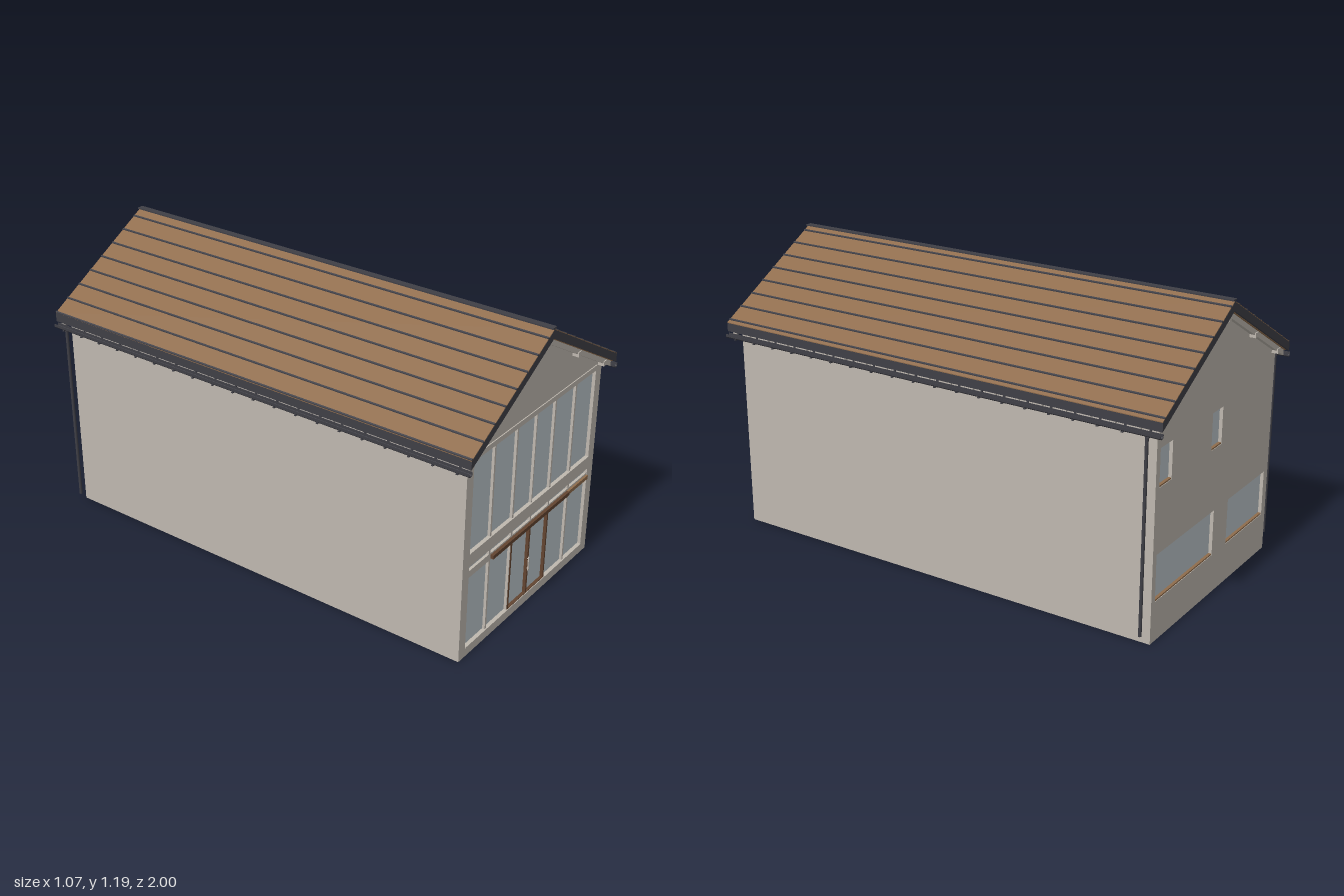
import * as THREE from 'three';

const mat = (name, color) => {
  const m = new THREE.MeshStandardMaterial({ color });
  m.name = name;
  return m;
};

export function createModel() {
  const plaster = mat('plaster', 0xbfb8af);
  const roofBrown = mat('roofBrown', 0x8f6c4c);
  const darkMetal = mat('darkMetal', 0x3f3f46);
  const glass = mat('glass', 0xbcc6ca);
  const darkWood = mat('darkWood', 0x634430);

  const house = new THREE.Group();
  house.name = 'house';

  const add = (name, geo, material) => {
    const mesh = new THREE.Mesh(geo, material);
    mesh.name = name;
    house.add(mesh);
    return mesh;
  };
  // Box given by its limits on each axis
  const box = (name, material, x0, x1, y0, y1, z0, z1) => {
    const geo = new THREE.BoxGeometry(x1 - x0, y1 - y0, z1 - z0);
    geo.translate((x0 + x1) / 2, (y0 + y1) / 2, (z0 + z1) / 2);
    return add(name, geo, material);
  };
  // Outline in x,y pushed from z0 to z1, with optional rectangular holes
  const prism = (name, material, points, z0, z1, holes = []) => {
    const shape = new THREE.Shape(points.map(([x, y]) => new THREE.Vector2(x, y)));
    for (const [x0, x1, y0, y1] of holes) {
      shape.holes.push(new THREE.Path([[x0, y0], [x0, y1], [x1, y1], [x1, y0]]
        .map(([x, y]) => new THREE.Vector2(x, y))));
    }
    const geo = new THREE.ExtrudeGeometry(shape, { depth: z1 - z0, bevelEnabled: false });
    geo.translate(0, 0, z0);
    return add(name, geo, material);
  };

  const SLOPE = 0.567, EAVE = 0.522, TOP = 1.18, UNDER = 1.145;
  const topY = (x) => TOP - SLOPE * Math.abs(x);
  const underY = (x) => UNDER - SLOPE * Math.abs(x);
  // Strip that follows the roof pitch between two x values
  const strip = (xa, xb, yAt, lo, hi) =>
    [[xa, yAt(xa) + lo], [xb, yAt(xb) + lo], [xb, yAt(xb) + hi], [xa, yAt(xa) + hi]];

  // Walls: solid core with thin pierced front and back skins
  const gable = [[-0.48, 0], [0.48, 0], [0.48, underY(0.48)], [0, UNDER], [-0.48, underY(0.48)]];
  const frontHoles = [[-0.437, 0.437, 0.45, 0.832], [-0.437, 0.437, 0.037, 0.396]];
  const backHoles = [
    [0, 0.453, 0.162, 0.35], [-0.447, -0.12, 0.162, 0.35],
    [0.362, 0.453, 0.61, 0.76], [-0.034, 0.05, 0.61, 0.76],
  ];
  prism('wallCore', plaster, gable, -0.94, 0.94);
  prism('frontWall', plaster, gable, 0.94, 0.96, frontHoles);
  prism('backWall', plaster, gable, -0.96, -0.94, backHoles);

  // Back windows with brown sills
  for (const [x0, x1, y0, y1] of backHoles) {
    box('backGlass', glass, x0, x1, y0, y1, -0.946, -0.939);
    box('backSill', roofBrown, x0, x1, y0, y0 + 0.006, -0.958, -0.945);
  }

  // Front glazing
  for (const [x0, x1, y0, y1] of frontHoles) {
    box('frontGlass', glass, x0, x1, y0, y1, 0.939, 0.946);
    for (const x of [-0.291, -0.137, 0.137, 0.291]) {
      box('mullion', plaster, x - 0.005, x + 0.005, y0, y1, 0.945, 0.957);
    }
    box('centreMullion', plaster, -0.003, 0.003, y0, y1, 0.945, 0.957);
  }
  box('lintelLedge', plaster, -0.437, 0.437, 0.85, 0.858, 0.955, 0.964);
  box('upperSill', plaster, -0.437, 0.437, 0.446, 0.452, 0.945, 0.962);
  box('lowerSill', plaster, -0.437, 0.437, 0.034, 0.04, 0.945, 0.962);
  box('transomRail', plaster, -0.437, 0.437, 0.345, 0.374, 0.945, 0.957);

  // Sliding screen rail above the doors
  box('doorRail', darkWood, -0.284, 0.282, 0.351, 0.367, 0.955, 0.97);
  box('sideRail', roofBrown, 0.282, 0.437, 0.351, 0.367, 0.955, 0.966);

  // Double doors: slim wooden frames and pull handles
  for (const s of [-1, 1]) {
    const leaf = (a, b, y0, y1) =>
      box('doorFrame', darkWood, Math.min(s * a, s * b), Math.max(s * a, s * b), y0, y1, 0.945, 0.959);
    leaf(0.13, 0.138, 0.037, 0.348);
    leaf(0.0006, 0.005, 0.037, 0.348);
    leaf(0.005, 0.13, 0.037, 0.043);
    leaf(0.005, 0.13, 0.342, 0.348);
  }
  box('doorHandle', plaster, -0.006, -0.001, 0.15, 0.21, 0.962, 0.967);
  for (const y of [0.157, 0.2]) box('handlePost', plaster, -0.005, -0.002, y, y + 0.004, 0.958, 0.963);

  // Roof slab
  prism('roofSlab', darkMetal, [
    [-EAVE, underY(EAVE)], [0, UNDER], [EAVE, underY(EAVE)],
    [EAVE, topY(EAVE)], [0, TOP], [-EAVE, topY(EAVE)],
  ], -1, 1);

  for (const s of [-1, 1]) {
    const between = (a, b) => (s > 0 ? [a, b] : [-b, -a]);
    // Brown roof covering and soffit
    prism('roofCovering', roofBrown, strip(...between(0, EAVE), topY, 0, 0.003), -0.9995, 0.9995);
    prism('soffit', roofBrown, strip(...between(0, EAVE - 0.01), underY, -0.003, 0.001), -0.99, 0.99);
    // Standing seams, slightly offset from side to side
    for (let i = 0; i < 8; i++) {
      const x = (s > 0 ? 0.028 : 0.04) + i * 0.0685;
      prism('roofSeam', darkMetal, strip(...between(x - 0.0025, x + 0.0025), topY, 0, 0.007), -1, 1);
    }
    // Gable rafters and purlin ends
    for (const z of [-0.982, 0.962]) {
      prism('gableRafter', plaster, strip(...between(0, 0.512), underY, -0.026, 0), z, z + 0.02);
      for (const x of [0.24, 0.458]) {
        const [a, b] = between(x - 0.011, x + 0.011);
        const y = underY(x) - 0.032;
        box('purlinEnd', plaster, a, b, y, y + 0.02, z - 0.004, z + 0.024);
      }
    }
    // Rafter tails under the eaves
    for (let i = 0; i < 19; i++) {
      const z = -0.9 + i * 0.1;
      prism('rafterTail', plaster, strip(...between(0.47, 0.512), underY, -0.024, 0), z - 0.01, z + 0.01);
    }
    // Open gutter with brackets, and downpipe at the back
    const gx = s * 0.524;
    prism('gutter', darkMetal, [
      [gx - 0.011, 0.84], [gx - 0.011, 0.829], [gx - 0.006, 0.824], [gx + 0.006, 0.824],
      [gx + 0.011, 0.829], [gx + 0.011, 0.84], [gx + 0.008, 0.84], [gx + 0.008, 0.83],
      [gx + 0.004, 0.827], [gx - 0.004, 0.827], [gx - 0.008, 0.83], [gx - 0.008, 0.84],
    ], -1, 1);
    for (let i = 0; i < 20; i++) {
      const z = -0.95 + i * 0.1;
      box('gutterBracket', darkMetal, gx - 0.012, gx + 0.012, 0.821, 0.825, z - 0.004, z + 0.004);
      box('gutterHanger', darkMetal, gx - s * 0.011 - 0.002, gx - s * 0.011 + 0.002, 0.822, 0.856, z - 0.004, z + 0.004);
    }
    const pipe = new THREE.CylinderGeometry(0.0065, 0.0065, 0.775, 12);
    pipe.translate(gx, 0.4375, -0.942);
    add('downpipe', pipe, darkMetal);
  }

  // Ridge beam ends and ridge cap
  for (const z of [-0.986, 0.958]) box('ridgeBeamEnd', plaster, -0.011, 0.011, 1.105, 1.14, z, z + 0.028);
  box('ridgeStem', darkMetal, -0.004, 0.004, 1.17, 1.186, -1, 1);
  box('ridgeCap', darkMetal, -0.014, 0.014, 1.184, 1.189, -1, 1);

  return house;
}
